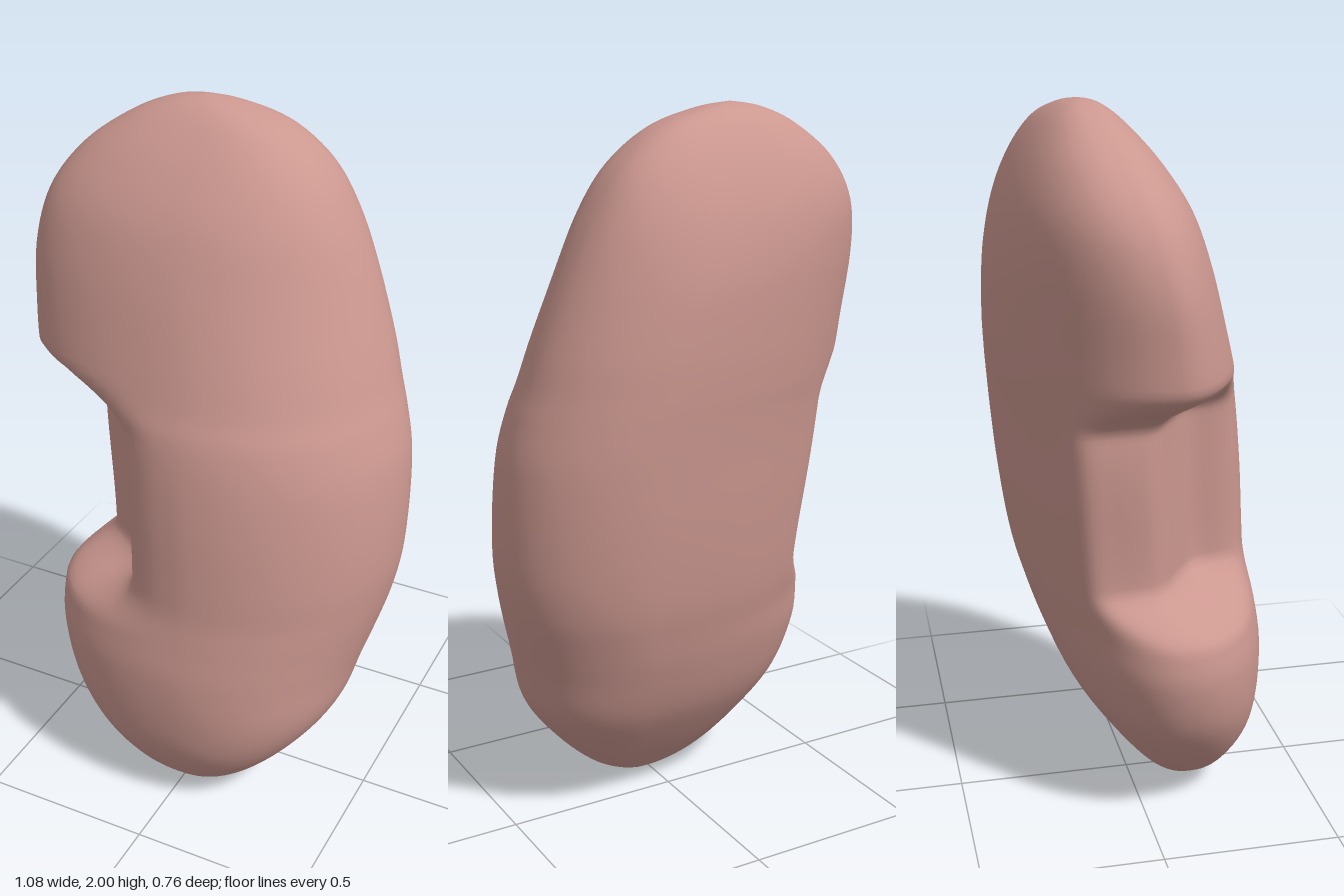
import * as THREE from 'three';

const { lerp, smoothstep, clamp } = THREE.MathUtils;

// Horizontal sections of the full bean: y, left x, left z, right x, front z, back z
const SECTIONS = [
  [0.00, 0.00, 0.165, 0.00, 0.165, 0.165],
  [0.015, -0.08, 0.165, 0.08, 0.22, 0.10],
  [0.08, -0.195, 0.15, 0.20, 0.285, 0.02],
  [0.20, -0.31, 0.125, 0.325, 0.35, -0.08],
  [0.33, -0.40, 0.095, 0.42, 0.375, -0.17],
  [0.48, -0.447, 0.07, 0.465, 0.38, -0.235],
  [0.60, -0.445, 0.055, 0.50, 0.365, -0.275],
  [0.69, -0.45, 0.045, 0.522, 0.352, -0.30],
  [0.80, -0.46, 0.04, 0.538, 0.345, -0.32],
  [0.95, -0.475, 0.035, 0.54, 0.335, -0.34],
  [1.10, -0.49, 0.03, 0.53, 0.318, -0.355],
  [1.21, -0.505, 0.03, 0.505, 0.298, -0.365],
  [1.29, -0.52, 0.03, 0.48, 0.272, -0.372],
  [1.41, -0.532, 0.02, 0.445, 0.238, -0.378],
  [1.58, -0.542, -0.01, 0.385, 0.187, -0.375],
  [1.73, -0.51, -0.05, 0.32, 0.128, -0.35],
  [1.85, -0.425, -0.09, 0.245, 0.05, -0.305],
  [1.94, -0.30, -0.12, 0.135, -0.03, -0.25],
  [1.985, -0.19, -0.14, 0.00, -0.09, -0.195],
  [2.00, -0.10, -0.145, -0.10, -0.145, -0.145],
];

// Hollow of the notch, from the back lip round to the front (x, z)
const notch = new THREE.CatmullRomCurve3([
  [-0.37, -0.08], [-0.355, 0.00], [-0.27, 0.07], [-0.185, 0.14],
  [-0.165, 0.23], [-0.14, 0.285], [-0.06, 0.325], [0.03, 0.34],
].map(([x, z]) => new THREE.Vector3(x, 0, z)));

// Smooth interpolation of a section at position s along the list
function sectionAt(s) {
  const last = SECTIONS.length - 1;
  const i = Math.min(Math.floor(s), last - 1), t = s - i;
  const row = (k) => SECTIONS[clamp(k, 0, last)];
  return SECTIONS[0].map((_, c) => {
    const a = row(i - 1)[c], b = row(i)[c], d = row(i + 1)[c], e = row(i + 2)[c];
    return b + 0.5 * t * (d - a + t * (2 * a - 5 * b + 4 * d - e + t * (3 * (b - d) + e - a)));
  });
}

// Four quarter curves join the left, front, right and back extremes
function pointAt([y, xL, zL, xR, zF, zB], u) {
  const c = Math.cos(u * Math.PI * 2), s = Math.sin(u * Math.PI * 2);
  const width = xR - xL, depth = zF - zB, xMid = (xL + xR) / 2;
  const xF = xMid + 0.02 * width, xB = xMid + 0.17 * width;
  const zR = (zF + zB) / 2 - 0.11 * depth;
  const [xEnd, zEnd] = c > 0 ? [xL, zL] : [xR, zR];
  const [xSide, zSide] = s > 0 ? [xF, zF] : [xB, zB];

  // Sections are a little squarer towards both tips
  const power = 0.84 + 0.16 * smoothstep(y, 0.1, 0.6) * (1 - smoothstep(y, 1.5, 1.9));
  let x = xSide + (xEnd - xSide) * Math.abs(c) ** power;
  let z = zEnd + (zSide - zEnd) * Math.abs(s) ** power;

  // Press the notch into the left side
  const w = smoothstep(y, 0.58, 0.73) * (1 - smoothstep(y, 1.18, 1.33));
  const lip = smoothstep(y, 0.7, 1.15);
  const xLip = lerp(-0.33, -0.37, lip), zLip = lerp(-0.05, -0.08, lip);
  if (u <= 0.25) {
    const t = u * 4, p = notch.getPoint(t);
    x = lerp(x, p.x + lerp(xLip + 0.37, xF - 0.03, t), w);
    z = lerp(z, p.z + lerp(zLip + 0.08, zF - 0.34, t), w);
  } else if (u > 0.75) {
    // Round the back surface over to the lip
    const pull = w * smoothstep(u, 0.86, 1);
    x += (xLip - xL) * pull;
    z += (zLip - zL) * pull;
  }
  return [x, y, z];
}

export function createModel() {
  const steps = 6, rows = (SECTIONS.length - 1) * steps, around = 96;
  const positions = [], index = [];
  for (let i = 0; i <= rows; i++) {
    const section = sectionAt(i / steps);
    for (let j = 0; j < around; j++) positions.push(...pointAt(section, j / around));
  }
  for (let i = 0; i < rows; i++) {
    for (let j = 0; j < around; j++) {
      const a = i * around + j, b = i * around + (j + 1) % around;
      const c = b + around, d = a + around;
      // The end rows shrink to a point, so they need one triangle only
      if (i > 0) index.push(a, b, c);
      if (i < rows - 1) index.push(a, c, d);
    }
  }
  const geometry = new THREE.BufferGeometry();
  geometry.setAttribute('position', new THREE.Float32BufferAttribute(positions, 3));
  geometry.setIndex(index);
  geometry.computeVertexNormals();

  const body = new THREE.Mesh(geometry, new THREE.MeshStandardMaterial({ color: 0xcc9890 }));
  body.name = 'kidneyBody';
  const group = new THREE.Group();
  group.name = 'kidney';
  group.add(body);
  return group;
}
